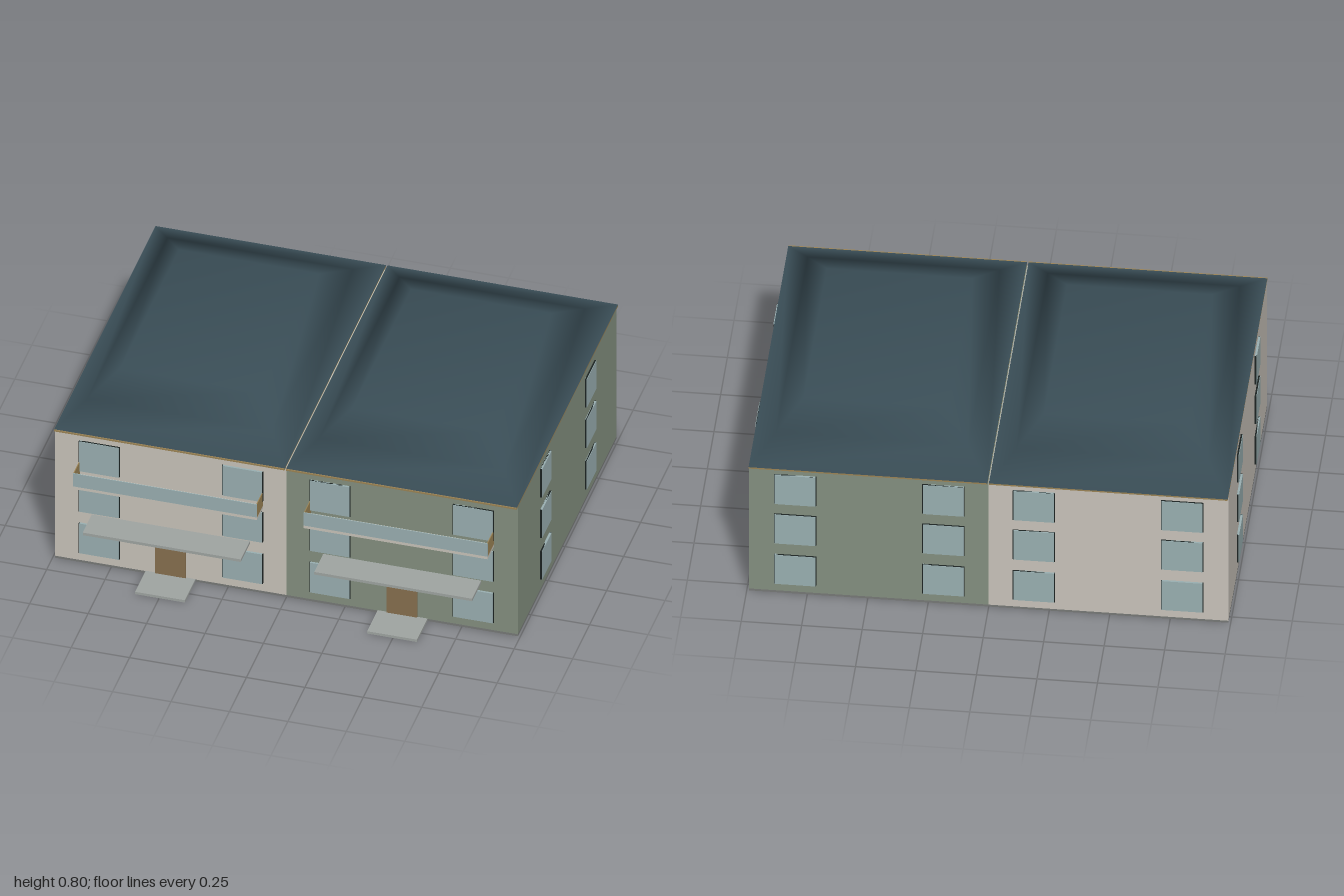
import * as THREE from 'three';

const paint = (color) => new THREE.MeshStandardMaterial({ color });
const MAT = {
  beige: paint(0xc9c4bb), green: paint(0x849080), glass: paint(0x9ab0b2),
  dark: paint(0x1c2322), wood: paint(0x87704f), tan: paint(0x9c8455),
  slab: paint(0xa0a5a2), base: paint(0x777977), roof: paint(0x3a4e57),
};

const FRONT = 0.66, BACK = -0.79, SIDE = 0.99;
const EAVE = 0.66;

// box given by its min and max on each axis
function box(name, material, [x0, x1], [y0, y1], [z0, z1]) {
  const mesh = new THREE.Mesh(new THREE.BoxGeometry(x1 - x0, y1 - y0, z1 - z0), material);
  mesh.position.set((x0 + x1) / 2, (y0 + y1) / 2, (z0 + z1) / 2);
  mesh.name = name;
  return mesh;
}

// shallow pane with dark edges, facing local +z
function makeWindow(width, height) {
  const group = new THREE.Group();
  group.name = 'window';
  const w = width / 2, h = height / 2;
  group.add(box('windowFrame', MAT.dark, [-w, w], [-h, h], [-0.01, 0.007]));
  group.add(box('windowGlass', MAT.glass, [-w + 0.003, w - 0.003], [-h, h], [0, 0.009]));
  return group;
}

// hipped roof with a flat top, built from rectangular rings and softly shaded
function makeRoof(x0, x1) {
  const rings = [
    // inset in x, inset at front, inset at back, height, outward lean of the normal
    [0, 0, 0, EAVE, 0],
    [0.097, 0.152, 0.158, 0.728, 1.2],
    [0.193, 0.305, 0.315, 0.795, 0.15],
  ];
  const position = [], normal = [], index = [];
  for (const [ix, f, b, y, lean] of rings) {
    const l = x0 + ix, r = x1 - ix, front = 0.675 - f, back = -0.815 + b;
    const corners = [[l, front, -1, 1], [r, front, 1, 1], [r, back, 1, -1], [l, back, -1, -1]];
    for (const [x, z, sx, sz] of corners) {
      position.push(x, y, z);
      const n = new THREE.Vector3(sx * lean, 1, sz * lean).normalize();
      normal.push(n.x, n.y, n.z);
    }
  }
  for (let k = 0; k < rings.length - 1; k++) {
    for (let i = 0; i < 4; i++) {
      const a = k * 4 + i, b = k * 4 + (i + 1) % 4;
      index.push(a, b, b + 4, a, b + 4, a + 4);
    }
  }
  const top = (rings.length - 1) * 4;
  index.push(top, top + 1, top + 2, top, top + 2, top + 3);
  const geometry = new THREE.BufferGeometry();
  geometry.setAttribute('position', new THREE.Float32BufferAttribute(position, 3));
  geometry.setAttribute('normal', new THREE.Float32BufferAttribute(normal, 3));
  geometry.setIndex(index);
  const mesh = new THREE.Mesh(geometry, MAT.roof);
  mesh.name = 'roof';
  return mesh;
}

// one of the two houses; side is +1 for the left house, -1 for the right
function makeHouse(side) {
  const house = new THREE.Group();
  house.name = side > 0 ? 'leftHouse' : 'rightHouse';
  const span = (a, b) => (side > 0 ? [a, b] : [-b, -a]);
  const add = (name, material, x, y, z) => house.add(box(name, material, span(...x), y, z));

  // shell and roof
  add('walls', side > 0 ? MAT.green : MAT.beige, [0, SIDE], [0.01, 0.655], [BACK, FRONT]);
  add('eaves', MAT.tan, [0.003, SIDE], [0.653, EAVE], [-0.815, 0.68]);
  house.add(makeRoof(...span(0.003, SIDE)));

  // three floors of windows on the front, back and outer walls
  const place = (w, h, x, y, z, turn) => {
    const pane = makeWindow(w, h);
    pane.position.set(x, y, z);
    pane.rotation.y = turn;
    house.add(pane);
  };
  for (const y of [0.125, 0.335, 0.54]) {
    for (const x of [0.187, 0.8]) {
      place(0.175, 0.15, side * x, y, FRONT, 0);
      place(0.175, 0.15, side * x, y, BACK, Math.PI);
    }
    for (const z of [0.265, -0.395]) {
      place(0.143, 0.142, side * SIDE, y + 0.01, z, side * Math.PI / 2);
    }
  }

  // entrance: door, step and canopy
  add('door', MAT.wood, [0.43, 0.56], [0.01, 0.22], [FRONT - 0.01, FRONT + 0.006]);
  add('doorstep', MAT.slab, [0.39, 0.603], [0, 0.012], [FRONT, 0.815]);
  add('canopy', MAT.slab, [0.157, 0.833], [0.237, 0.25], [FRONT, 0.793]);

  // balcony with glazed front and timber ends
  add('balconyFloor', MAT.beige, [0.1, 0.887], [0.432, 0.445], [FRONT, 0.752]);
  add('balconyFront', MAT.glass, [0.1, 0.887], [0.445, 0.51], [0.748, 0.752]);
  for (const x of [0.1, 0.883]) {
    add('balconyEnd', MAT.tan, [x, x + 0.004], [0.445, 0.51], [FRONT, 0.748]);
  }
  return house;
}

export function createModel() {
  const model = new THREE.Group();
  model.name = 'semiDetachedHouses';
  model.add(box('foundation', MAT.base, [-SIDE, SIDE], [0, 0.01], [BACK, FRONT]));
  for (const side of [1, -1]) model.add(makeHouse(side));
  return model;
}
